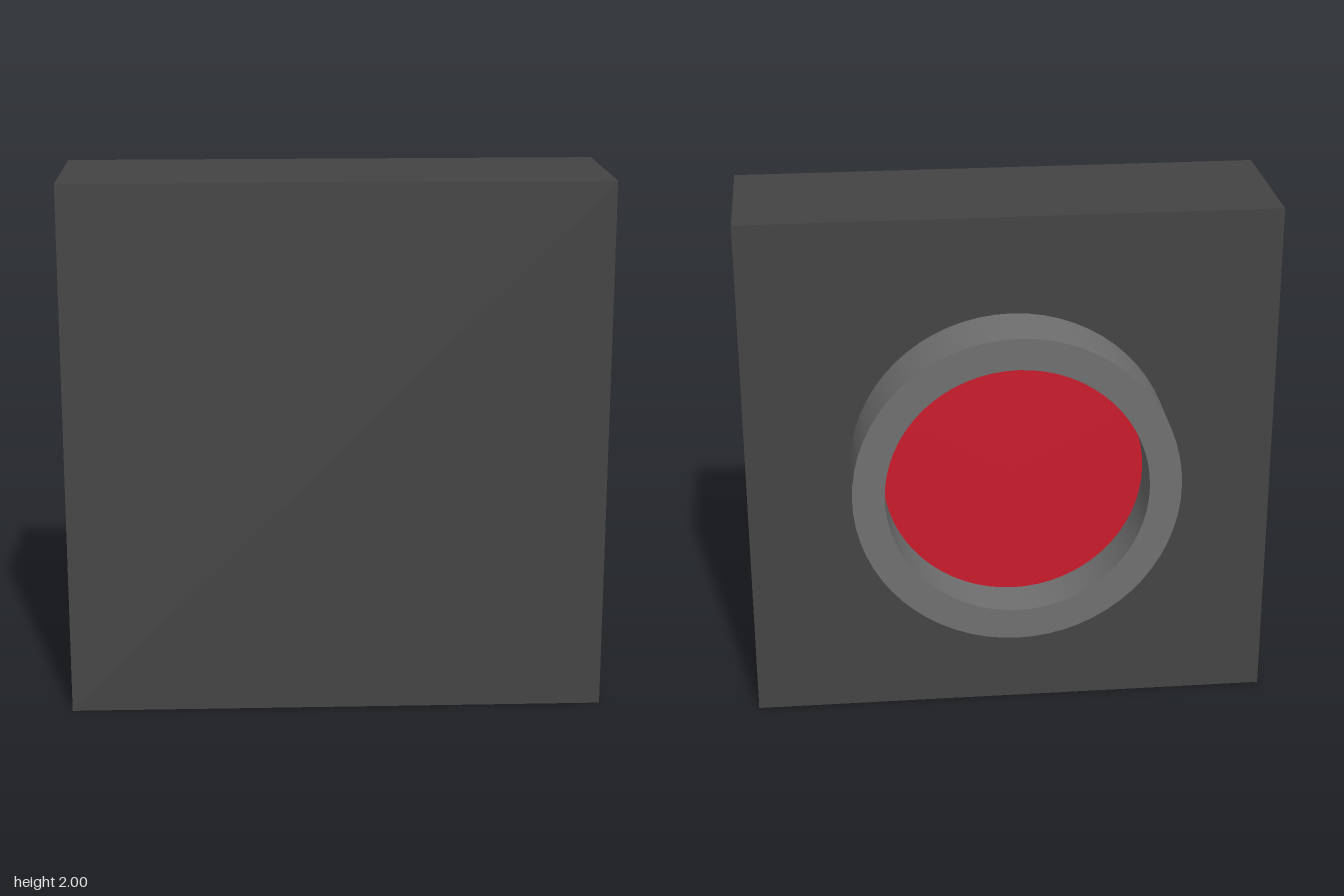
import * as THREE from 'three';
import { toCreasedNormals } from 'three/addons/utils/BufferGeometryUtils.js';

const FRONT = 0.43, BODY_BACK = -0.175, RING_BACK = -0.43;
const RING_Y = 1.02, OUTER = 0.61, INNER = 0.49;

export function createModel() {
  const group = new THREE.Group();
  const add = (name, geometry, color, y, z) => {
    const mesh = new THREE.Mesh(geometry, new THREE.MeshStandardMaterial({ color }));
    mesh.name = name;
    mesh.position.set(0, y, z);
    group.add(mesh);
    return mesh;
  };

  // Square block standing upright
  add('body', new THREE.BoxGeometry(2, 2, FRONT - BODY_BACK), 0x444444, 1, (FRONT + BODY_BACK) / 2);

  // Raised ring on the back, with a square cross-section
  const depth = BODY_BACK - RING_BACK;
  const profile = [[INNER, 0], [OUTER, 0], [OUTER, depth], [INNER, depth], [INNER, 0]]
    .map(([r, h]) => new THREE.Vector2(r, h));
  const ring = toCreasedNormals(new THREE.LatheGeometry(profile, 64), Math.PI / 6);
  add('ring', ring, 0x707070, RING_Y, BODY_BACK).rotation.x = -Math.PI / 2;

  // Red button recessed inside the ring
  const buttonDepth = 0.075;
  const button = new THREE.CylinderGeometry(INNER, INNER, buttonDepth, 64);
  add('button', button, 0xcc1a2c, RING_Y, BODY_BACK - buttonDepth / 2).rotation.x = -Math.PI / 2;

  return group;
}
